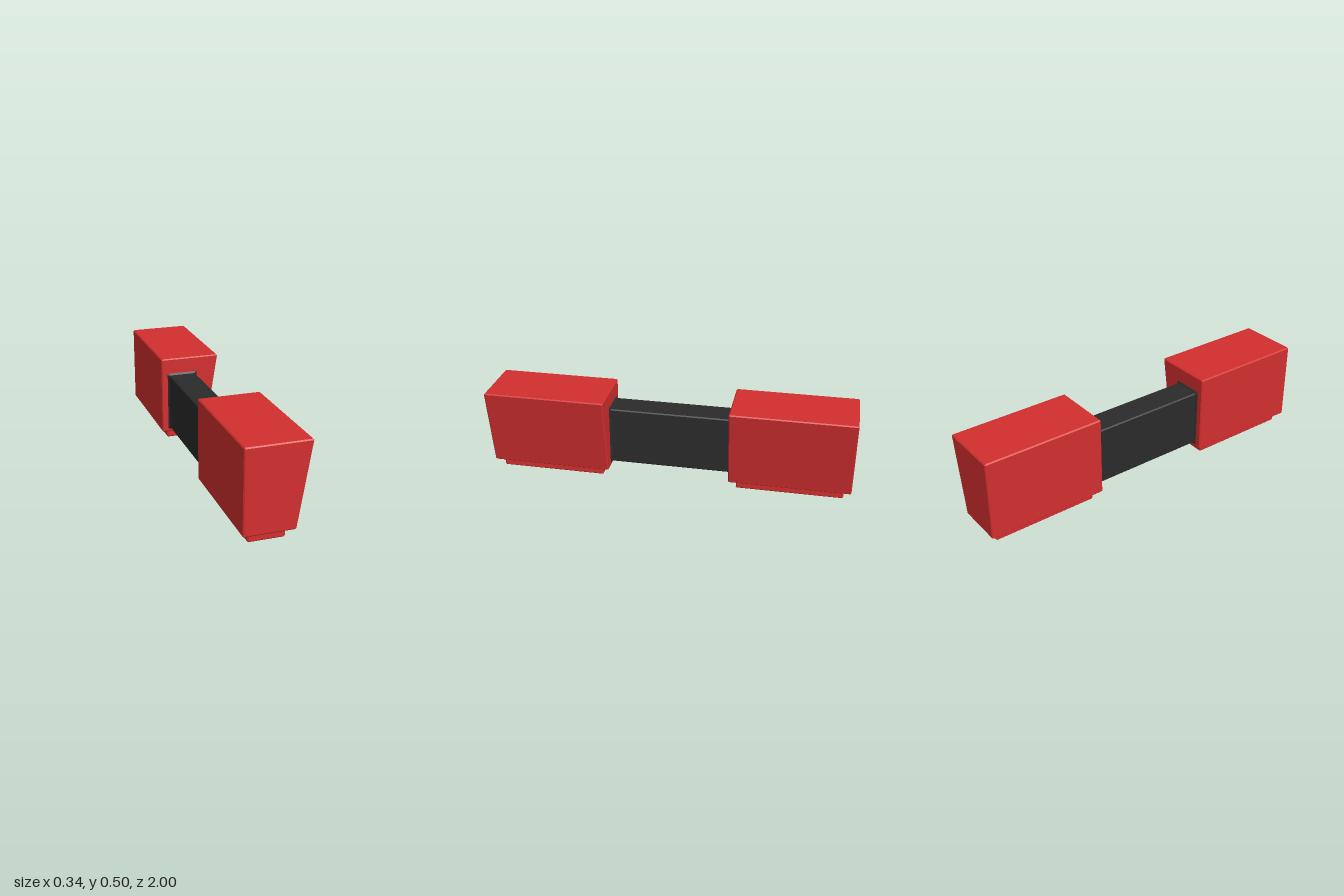
import * as THREE from 'three';

const RED = new THREE.MeshStandardMaterial({ color: 0xd32f2f, flatShading: true });
const BLACK = new THREE.MeshStandardMaterial({ color: 0x2b2b2b, flatShading: true });

// Four-cornered outline, grown by g, each corner cut back by c along its edges (8 points, anticlockwise).
function outline([left, bottomRight, topRight, bottom, top], g, c) {
  const quad = [
    [left - g, bottom - g], [bottomRight + g, bottom - g],
    [topRight + g, top + g], [left - g, top + g],
  ].map(([x, y]) => new THREE.Vector2(x, y));
  return quad.flatMap((p, i) => [quad[(i + 3) % 4], quad[(i + 1) % 4]].map((q) =>
    q.clone().sub(p).setLength(c).add(p)));
}

// Skins a closed solid through rings [z, growth, corner cut], running along +z.
function loft(quad, rings) {
  const loops = rings.map(([z, g, c]) =>
    outline(quad, g, c).map((p) => new THREE.Vector3(p.x, p.y, z)));
  const pos = [];
  const tri = (a, b, c) => {
    if (new THREE.Triangle(a, b, c).getArea() > 1e-9) {
      for (const v of [a, b, c]) pos.push(v.x, v.y, v.z);
    }
  };
  for (let k = 0; k < loops.length - 1; k++) {
    const A = loops[k], B = loops[k + 1];
    for (let i = 0; i < 8; i++) {
      const j = (i + 1) % 8;
      tri(A[i], A[j], B[j]);
      tri(A[i], B[j], B[i]);
    }
  }
  const first = loops[0], last = loops[loops.length - 1];
  for (let i = 1; i < 7; i++) {
    tri(first[0], first[i + 1], first[i]);
    tri(last[0], last[i], last[i + 1]);
  }
  const geometry = new THREE.BufferGeometry();
  geometry.setAttribute('position', new THREE.Float32BufferAttribute(pos, 3));
  geometry.computeVertexNormals();
  return geometry;
}

function addPart(parent, name, geometry, material) {
  const mesh = new THREE.Mesh(geometry, material);
  mesh.name = name;
  parent.add(mesh);
  return mesh;
}

export function createModel() {
  const model = new THREE.Group();
  model.name = 'twinBlockBar';
  const bevel = 0.006;

  // Tapered end blocks: one upright side, one leaning outwards
  const block = loft([-0.169, 0.096, 0.168, 0.052, 0.496], [
    [-0.332, -bevel, 0], [-0.332 + bevel, 0, bevel],
    [0.332 - bevel, 0, bevel], [0.332, -bevel, 0],
  ]);

  // Low foot that flares out where it meets the block
  const foot = loft([-0.131, 0.058, 0.058, -0.292, 0.292], [
    [0, -bevel, 0], [bevel, 0, bevel],
    [0.043, 0, bevel], [0.054, 0.011, bevel],
  ]);
  foot.rotateX(-Math.PI / 2);

  for (const [name, side] of [['front', 1], ['back', -1]]) {
    const end = new THREE.Group();
    end.name = name + 'End';
    end.position.z = side * 0.668;
    addPart(end, name + 'Block', block, RED);
    addPart(end, name + 'Foot', foot, RED);
    model.add(end);
  }

  // Connecting bar with a flared collar at each end
  const bar = loft([-0.125, 0.03, 0.03, 0.077, 0.4], [
    [-0.338, 0.011, bevel], [-0.327, 0, bevel],
    [0.327, 0, bevel], [0.338, 0.011, bevel],
  ]);
  addPart(model, 'connectingBar', bar, BLACK);

  return model;
}
